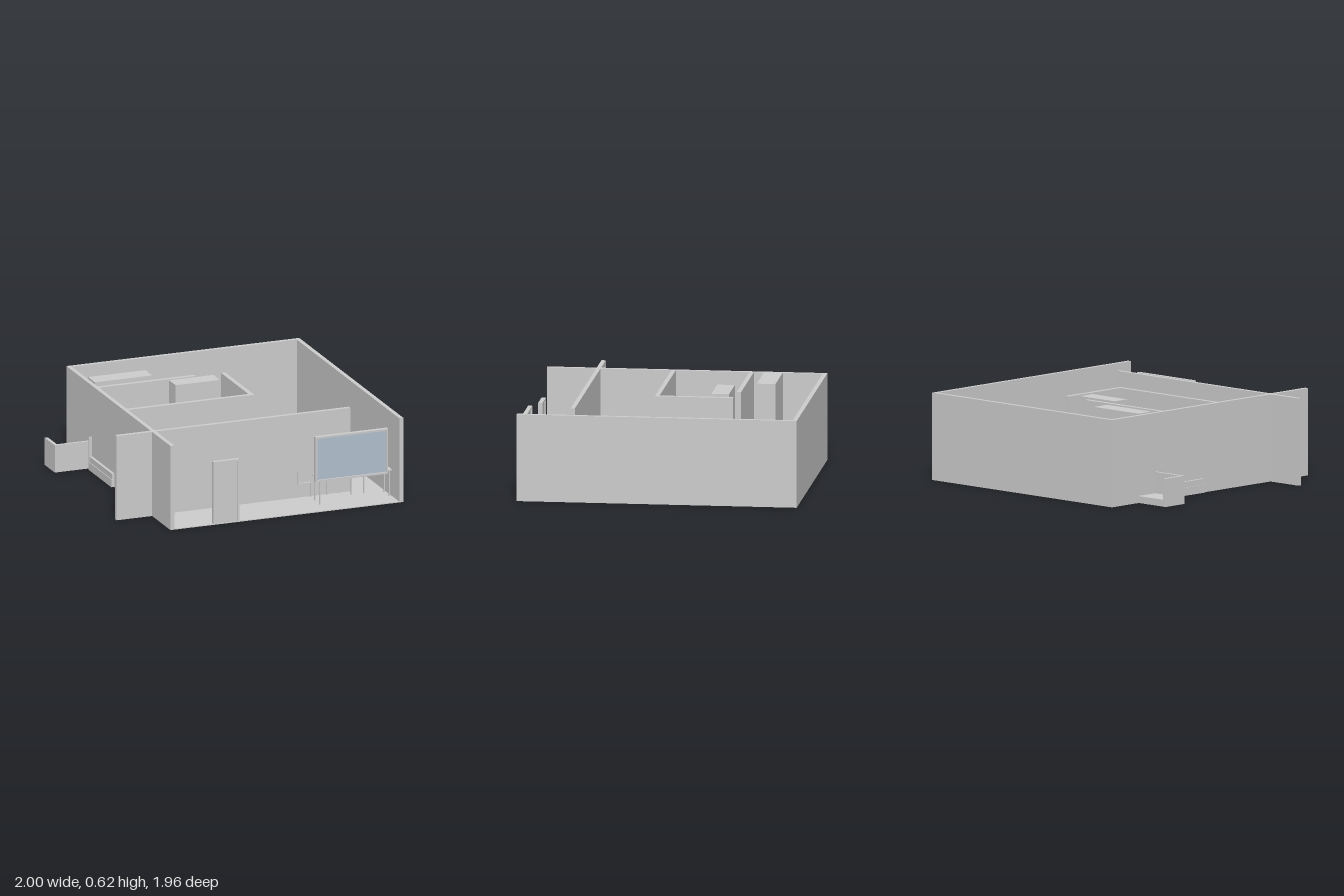
import * as THREE from 'three';

export function createModel() {
  const model = new THREE.Group();
  model.name = 'apartment';
  const grey = new THREE.MeshStandardMaterial({ color: 0xcccccc });
  grey.name = 'plain grey';
  const blue = new THREE.MeshStandardMaterial({ color: 0xb1bfcc });
  blue.name = 'glass blue';

  // Box given by its limits on each axis
  function box(name, x0, x1, y0, y1, z0, z1, parent = model, material = grey) {
    const mesh = new THREE.Mesh(new THREE.BoxGeometry(x1 - x0, y1 - y0, z1 - z0), material);
    mesh.position.set((x0 + x1) / 2, (y0 + y1) / 2, (z0 + z1) / 2);
    mesh.name = name;
    parent.add(mesh);
    return mesh;
  }
  function group(name) {
    const g = new THREE.Group();
    g.name = name;
    model.add(g);
    return g;
  }

  // Floor and walls; the front stays open
  const H = 0.612;
  box('floor', -0.735, 1, 0, 0.006, -0.98, 0.975);
  [
    ['backWall', -0.735, 1, -0.98, -0.95],
    ['rightSideWall', -0.735, -0.705, -0.95, 0.975],
    ['leftSideWall', 0.97, 1, -0.95, 0.975],
    ['livingRoomWall', -1, 0.742, 0.6, 0.63],
    ['bedroomWall', -0.705, 0.235, 0.075, 0.105],
    ['hallWall', 0.203, 0.235, -0.44, 0.075],
    ['bathroomWall', -0.705, 0.015, -0.47, -0.44],
  ].forEach(([name, x0, x1, z0, z1]) => box(name, x0, x1, 0, H, z0, z1));

  // Wardrobes
  box('rearWardrobe', -0.695, -0.268, 0.006, 0.618, -0.675, -0.545);
  box('bedroomWardrobe', -0.2, 0.13, 0.006, 0.618, -0.4, -0.277);

  // Door with frame
  const door = group('door');
  box('doorPost', -0.415, -0.4, 0.006, 0.456, 0.945, 0.975, door);
  box('doorPost', -0.235, -0.22, 0.006, 0.456, 0.945, 0.975, door);
  box('doorLintel', -0.4, -0.235, 0.443, 0.456, 0.945, 0.975, door);
  box('doorLeaf', -0.4, -0.235, 0.006, 0.443, 0.953, 0.967, door);

  // Window with frame
  const win = group('window');
  const f = 0.013;
  box('windowPost', 0.347, 0.347 + f, 0.219, 0.546, 0.945, 0.975, win);
  box('windowPost', 0.887 - f, 0.887, 0.219, 0.546, 0.945, 0.975, win);
  box('windowSill', 0.347 + f, 0.887 - f, 0.219, 0.219 + f, 0.945, 0.975, win);
  box('windowHead', 0.347 + f, 0.887 - f, 0.546 - f, 0.546, 0.945, 0.975, win);
  box('windowGlass', 0.347 + f, 0.887 - f, 0.219 + f, 0.546 - f, 0.956, 0.964, win, blue);

  // Four thin legs set in from the corners
  function legs(g, x0, x1, z0, z1, top, inset, t) {
    for (const x of [x0 + inset, x1 - inset - t])
      for (const z of [z0 + inset, z1 - inset - t]) box('leg', x, x + t, 0.006, top, z, z + t, g);
  }

  // Tables
  function table(name, x0, x1, z0, z1, top) {
    const g = group(name);
    box('tableTop', x0, x1, top - 0.006, top, z0, z1, g);
    legs(g, x0, x1, z0, z1, top - 0.006, 0.012, 0.008);
  }
  table('diningTable', 0.455, 0.805, 0.345, 0.54, 0.168);
  table('sideCounter', 0.705, 0.832, 0.41, 0.714, 0.2);
  table('frontCounter', 0.42, 0.97, 0.714, 0.842, 0.2);

  // Chairs with their backs towards the right side wall
  for (const x of [0.347, 0.562])
    for (const z of [0.336, 0.55]) {
      const g = group('chair');
      box('chairSeat', x, x + 0.096, 0.106, 0.112, z, z + 0.096, g);
      box('chairBack', x, x + 0.005, 0.112, 0.2, z, z + 0.096, g);
      legs(g, x, x + 0.096, z, z + 0.096, 0.106, 0, 0.006);
    }

  // Beds: frame, inset mattress and headboard
  const double = group('doubleBed');
  box('bedFrame', -0.76, -0.42, 0.003, 0.06, -0.495, -0.072, double);
  box('mattress', -0.755, -0.425, 0.06, 0.1, -0.495, -0.077, double);
  box('headboard', -0.76, -0.42, 0.003, 0.24, -0.505, -0.495, double);
  const single = group('singleBed');
  box('bedFrame', -0.493, -0.07, 0.006, 0.06, 0.063, 0.257, single);
  box('mattress', -0.493, -0.075, 0.06, 0.1, 0.068, 0.252, single);
  box('headboard', -0.505, -0.493, 0.006, 0.24, 0.063, 0.257, single);

  // Sofa with arms and backrest
  const sofa = group('sofa');
  box('sofaSeat', -0.977, -0.55, 0.002, 0.05, -0.72, -0.55, sofa);
  box('sofaArm', -1, -0.977, 0.002, 0.2, -0.72, -0.55, sofa);
  box('sofaArm', -0.55, -0.526, 0.002, 0.2, -0.72, -0.55, sofa);
  box('sofaBack', -1, -0.526, 0.002, 0.2, -0.55, -0.53, sofa);

  return model;
}
